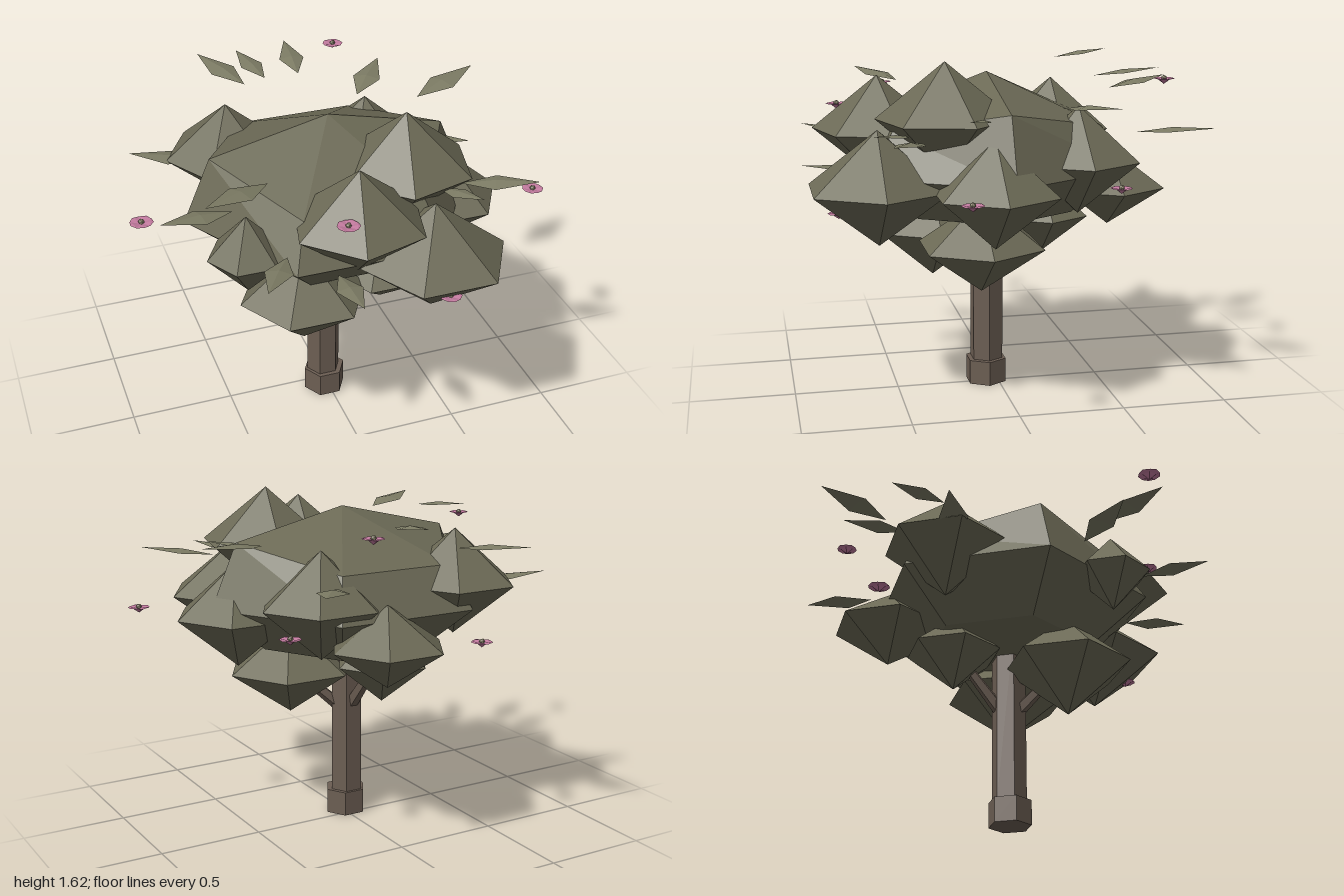
import * as THREE from 'three';

const material = (color, side = THREE.FrontSide) =>
  new THREE.MeshStandardMaterial({ color, flatShading: true, side });
const bark = material(0x6c5e53);
const foliage = material(0x6c6a56);
const leafMat = material(0x7b7a63, THREE.DoubleSide);
const petalMat = material(0xc27a9e, THREE.DoubleSide);
const centreMat = material(0x9a9478);

// Six-sided turned solid with corners on the x axis; profile runs bottom to top
function hexSolid(profile) {
  const points = profile.map(([r, y]) => new THREE.Vector2(r, y));
  return new THREE.LatheGeometry(points, 6).rotateY(Math.PI / 6);
}

// Crown: the shoulder ring dips at the front and back corners
function crownGeometry() {
  const shoulder = 1.41;
  const g = hexSolid([[0, 0.82], [0.42, 0.89], [0.69, 1.11], [0.56, shoulder], [0, 1.54]]);
  const p = g.attributes.position;
  for (let i = 0; i < p.count; i++) {
    if (Math.abs(p.getY(i) - shoulder) < 0.01 && Math.abs(p.getZ(i)) > 0.1) p.setY(i, 1.31);
  }
  return g;
}

// Folded diamond blade, lying along +z from the origin, one unit long
function bladeGeometry(width, fold, widest) {
  const w = width / 2;
  const g = new THREE.BufferGeometry();
  g.setAttribute('position', new THREE.Float32BufferAttribute([
    0, 0, 0, w, 0, widest, 0, fold, widest, -w, 0, widest, 0, 0, 1,
  ], 3));
  g.setIndex([0, 2, 1, 0, 3, 2, 1, 2, 4, 2, 3, 4]);
  g.computeVertexNormals();
  return g;
}

export function createModel() {
  const tree = new THREE.Group();
  tree.name = 'tree';

  const add = (name, geometry, mat, position = [0, 0, 0], parent = tree) => {
    const mesh = new THREE.Mesh(geometry, mat);
    mesh.name = name;
    mesh.position.set(...position);
    parent.add(mesh);
    return mesh;
  };

  // Trunk and its wider foot
  add('trunk', new THREE.CylinderGeometry(0.083, 0.083, 0.85, 6).rotateY(Math.PI / 6), bark, [-0.022, 0.525, 0.053]);
  add('trunkFoot', new THREE.CylinderGeometry(0.103, 0.103, 0.12, 6).rotateY(Math.PI / 6), bark, [-0.017, 0.06, 0.057]);

  // Branches reaching the low clumps
  const fork = new THREE.Vector3(-0.02, 0.52, 0.05);
  for (const tip of [[0.23, 0.75, 0.12], [-0.17, 0.74, 0.25], [-0.04, 0.82, -0.2]]) {
    const end = new THREE.Vector3(...tip);
    const dir = end.clone().sub(fork);
    const branch = add('branch', new THREE.CylinderGeometry(0.022, 0.035, dir.length(), 5), bark);
    branch.position.copy(fork).add(end).multiplyScalar(0.5);
    branch.quaternion.setFromUnitVectors(new THREE.Vector3(0, 1, 0), dir.normalize());
  }

  // Main crown
  add('crown', crownGeometry(), foliage, [0, 0, 0.055]);

  // Faceted clumps: x, y, z, radius, half height, turn
  const clumps = [
    [0.30, 1.06, 0.61, 0.345, 0.265, 0],
    [0.53, 1.06, 0.12, 0.30, 0.25, 0],
    [-0.20, 0.76, 0.29, 0.305, 0.25, 0],
    [0.25, 0.76, 0.13, 0.31, 0.22, 0],
    [-0.04, 1.28, 0.57, 0.31, 0.25, 0.28],
    [0.28, 1.36, 0.30, 0.32, 0.26, 0.28],
    [-0.37, 1.21, -0.35, 0.30, 0.25, 0],
    [0.10, 0.99, -0.52, 0.275, 0.19, 0],
    [0.32, 1.16, -0.31, 0.29, 0.25, 0],
    [-0.05, 0.83, -0.23, 0.23, 0.19, 0],
    [-0.50, 1.12, 0.42, 0.18, 0.19, 0],
  ];
  const clumpGeo = hexSolid([[0, -1], [1, 0], [0, 1]]);
  for (const [x, y, z, r, h, turn] of clumps) {
    const clump = add('foliageClump', clumpGeo, foliage, [x, y, z]);
    clump.scale.set(r, h, r);
    clump.rotation.y = turn;
  }

  // Loose leaves: base x, base z, tip x, tip z, height
  const leaves = [
    [-0.20, -0.61, -0.35, -0.95, 1.42],
    [0.38, -0.57, 0.61, -0.87, 1.29],
    [0.54, -0.18, 0.90, -0.34, 1.43],
    [0.50, 0.43, 0.81, 0.60, 1.29],
    [0.38, 0.45, 0.51, 0.66, 1.30],
    [-0.40, 0.43, -0.72, 0.61, 1.46],
    [-0.52, 0.28, -0.86, 0.35, 1.26],
    [-0.38, 0.62, -0.55, 0.90, 1.20],
    [-0.15, 0.62, -0.15, 0.94, 1.06],
    [-0.50, -0.33, -0.83, -0.45, 1.19],
    [0.03, -0.46, 0.06, -0.78, 1.51],
    [-0.18, -0.32, -0.24, -0.60, 1.58],
    [0.45, 0.12, 0.62, 0.25, 1.37],
  ];
  const leafGeo = bladeGeometry(0.38, 0.04, 0.45);
  for (const [x0, z0, x1, z1, y] of leaves) {
    const leaf = add('leaf', leafGeo, leafMat, [x0, y, z0]);
    leaf.scale.setScalar(Math.hypot(x1 - x0, z1 - z0));
    leaf.rotation.set(-0.11, Math.atan2(x1 - x0, z1 - z0), 0, 'YXZ');
  }

  // Blossoms: five raised petals around a small bud
  const petalGeo = bladeGeometry(1.2, 0.08, 0.75);
  const budGeo = new THREE.IcosahedronGeometry(0.014, 0);
  const calyxGeo = new THREE.ConeGeometry(0.032, 0.022, 5).rotateX(Math.PI);
  const blossoms = [
    [-0.95, 1.38, 0.44], [0.945, 1.10, 0.30], [-0.155, 1.38, 0.75],
    [0.31, 0.95, 0.79], [-0.32, 0.98, -0.65], [0.30, 1.515, -0.72], [0.55, 1.06, -0.45],
  ];
  for (const p of blossoms) {
    const blossom = new THREE.Group();
    blossom.name = 'blossom';
    blossom.position.set(...p);
    tree.add(blossom);
    for (let i = 0; i < 5; i++) {
      const petal = add('petal', petalGeo, petalMat, [0, 0, 0], blossom);
      petal.scale.setScalar(0.052);
      petal.rotation.set(-0.15, i * Math.PI * 0.4, 0, 'YXZ');
    }
    add('calyx', calyxGeo, petalMat, [0, -0.008, 0], blossom);
    add('bud', budGeo, centreMat, [0, 0.009, 0], blossom);
  }
  return tree;
}
